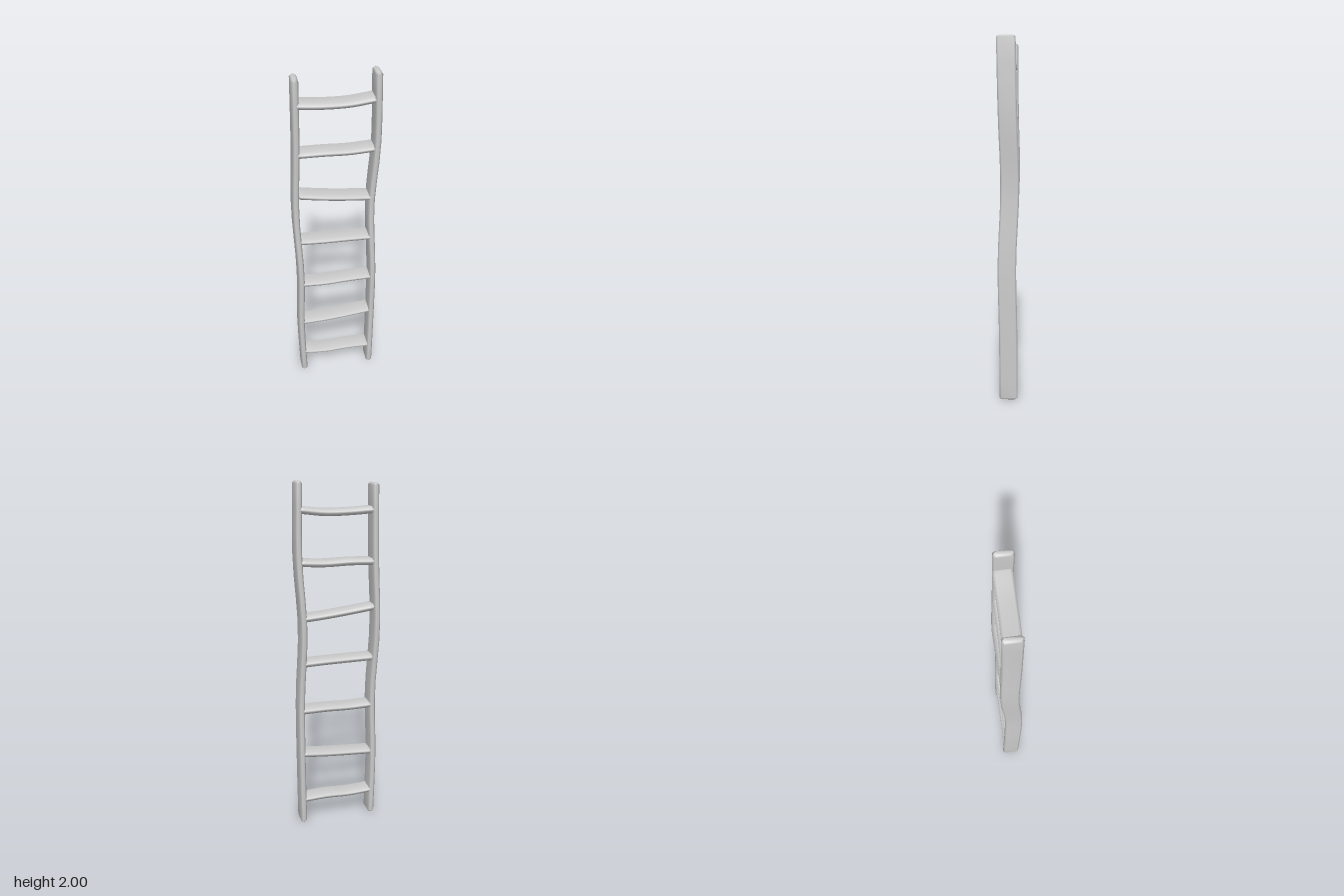
import * as THREE from 'three';

const material = new THREE.MeshStandardMaterial({ color: 0xcccccc });

// Chamfered rectangle, counter-clockwise, as eight [u, v] corners
function section(w, d, c) {
  const a = w / 2, b = d / 2;
  return [[a, -b + c], [a, b - c], [a - c, b], [-a + c, b],
    [-a, b - c], [-a, -b + c], [-a + c, -b], [a - c, -b]];
}

// Hewn beam: a chamfered section swept along a bent path, with bevelled ends.
// place(u, v, t, p) turns section coordinates into a position.
function beam(name, points, w, d, c, bevel, upright) {
  const path = new THREE.CatmullRomCurve3(points.map(p => new THREE.Vector3(...p)));
  const length = path.getLength(), steps = 16;
  const rings = [[0, bevel], [bevel / length, 0]];
  for (let i = 1; i < steps; i++) rings.push([i / steps, 0]);
  rings.push([1 - bevel / length, 0], [1, bevel]);

  const pos = [], index = [], n = 8;
  for (const [t, inset] of rings) {
    const p = path.getPointAt(t);
    for (const [u, v] of section(w - inset * 1.4, d - inset * 1.4, c)) {
      if (upright) pos.push(p.x + u, p.y, p.z + v);
      else pos.push(p.x, p.y + u, p.z + v);
    }
  }
  const face = (a, b, e) => upright ? index.push(a, e, b) : index.push(a, b, e);
  for (let r = 0; r < rings.length - 1; r++) {
    for (let i = 0; i < n; i++) {
      const a = r * n + i, b = r * n + (i + 1) % n;
      face(a, b, b + n);
      face(a, b + n, a + n);
    }
  }
  // End caps
  const last = (rings.length - 1) * n;
  for (let i = 1; i < n - 1; i++) {
    face(0, i + 1, i);
    face(last, last + i, last + i + 1);
  }
  const geometry = new THREE.BufferGeometry();
  geometry.setAttribute('position', new THREE.Float32BufferAttribute(pos, 3));
  geometry.setIndex(index);
  geometry.computeVertexNormals();
  const mesh = new THREE.Mesh(geometry, material);
  mesh.name = name;
  return mesh;
}

export function createModel() {
  const ladder = new THREE.Group();
  ladder.name = 'ladder';

  // Two crooked side rails
  ladder.add(beam('leftRail', [
    [0.215, 0, 0], [0.217, 0.4, 0.003], [0.214, 0.78, 0.01], [0.197, 1.2, -0.006],
    [0.217, 1.6, 0.007], [0.209, 2, 0.015],
  ], 0.036, 0.102, 0.01, 0.01, true));
  ladder.add(beam('rightRail', [
    [-0.207, 0.003, 0], [-0.217, 0.4, 0.008], [-0.209, 0.78, 0.014], [-0.223, 1.2, -0.012],
    [-0.211, 1.6, -0.004], [-0.206, 1.985, 0],
  ], 0.036, 0.102, 0.01, 0.01, true));

  // Seven uneven rungs: heights at right end, right middle, left middle, left end; z of the ends
  const rungs = [
    [0.155, 0.146, 0.152, 0.148, 0.002, 0.002],
    [0.413, 0.420, 0.431, 0.446, 0.008, 0.003],
    [0.715, 0.711, 0.716, 0.716, 0.012, 0.008],
    [1.012, 1.009, 1.007, 1.003, 0.000, 0.003],
    [1.312, 1.293, 1.277, 1.266, -0.010, -0.004],
    [1.566, 1.569, 1.566, 1.574, -0.004, 0.005],
    [1.846, 1.838, 1.838, 1.854, 0.002, 0.008],
  ];
  const rungGroup = new THREE.Group();
  rungGroup.name = 'rungs';
  rungs.forEach(([a, b, c, d, z0, z1], i) => {
    rungGroup.add(beam('rung' + (i + 1), [
      [-0.205, a, z0], [-0.07, b, (2 * z0 + z1) / 3 + 0.003],
      [0.07, c, (z0 + 2 * z1) / 3 + 0.002], [0.205, d, z1],
    ], 0.036, 0.098, 0.013, 0.006, false));
  });
  ladder.add(rungGroup);
  return ladder;
}
